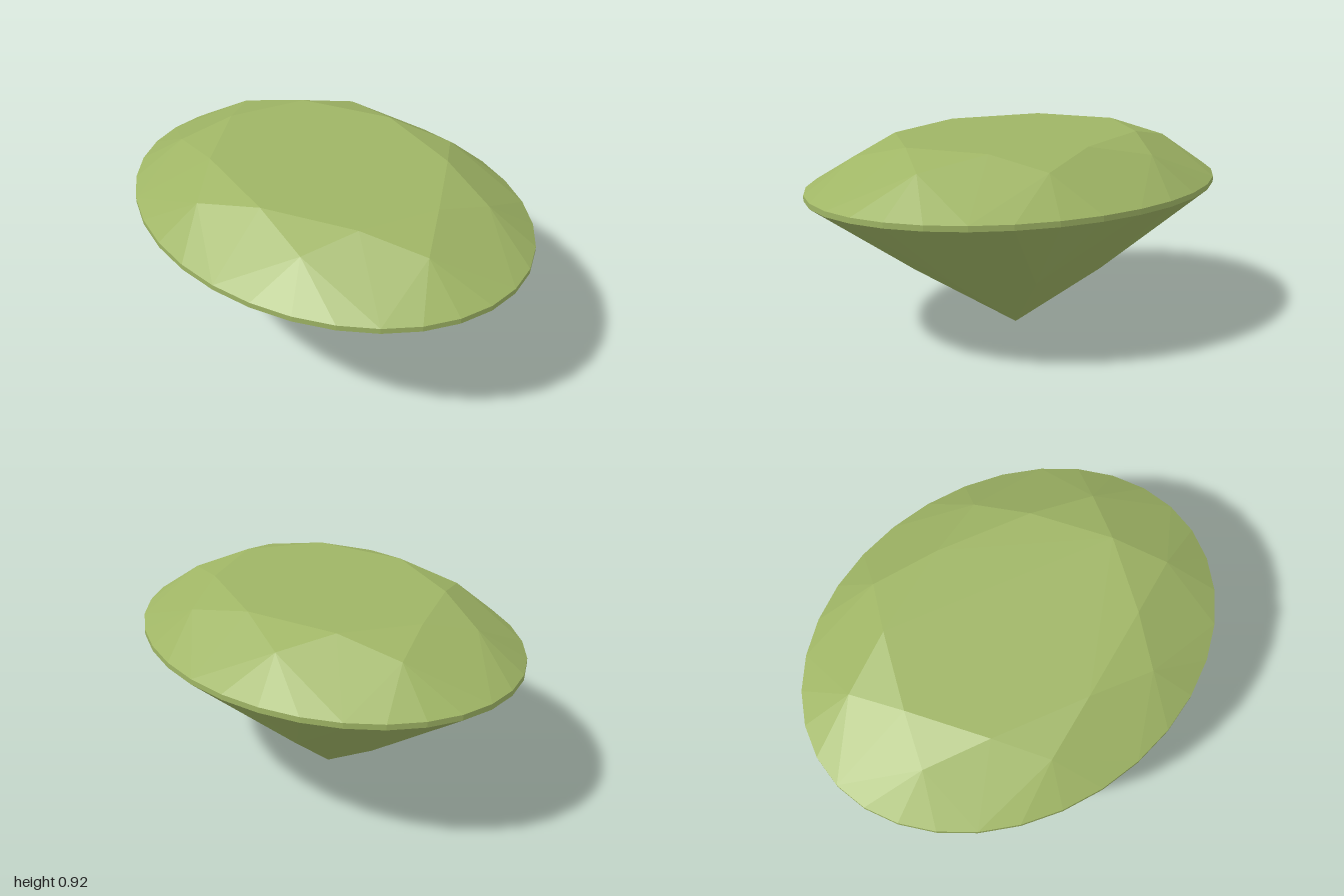
import * as THREE from 'three';

const RX = 0.783, RZ = 1.004;                 // half axes of the oval outline
const STEP = Math.PI / 4, OFFSET = THREE.MathUtils.degToRad(5);
const MAINS = 8;                              // eight-fold brilliant cut

// Ring of points: t counts main facets around the stone (0..8)
const ring = (radius, y) => (t) => {
  const a = OFFSET + t * STEP;
  return new THREE.Vector3(radius * RX * Math.sin(a), y, radius * RZ * Math.cos(a));
};
const tableRing = ring(0.6, 0.92);
const starRing = ring(0.77, 0.86);
const girdleTop = ring(1, 0.705);
const girdleBottom = ring(1, 0.68);
const lowerRing = ring(0.5, 0.314);
const culet = new THREE.Vector3(0, 0, 0);

// Facets are convex polygons, fanned into separate triangles for hard edges
function facetMesh(name, facets, material) {
  const points = [];
  for (const f of facets) {
    for (let i = 1; i < f.length - 1; i++) points.push(f[0], f[i], f[i + 1]);
  }
  const geometry = new THREE.BufferGeometry().setFromPoints(points);
  geometry.computeVertexNormals();
  const mesh = new THREE.Mesh(geometry, material);
  mesh.name = name;
  return mesh;
}

export function createModel() {
  const gem = new THREE.MeshStandardMaterial({ color: 0x9fb565 });
  gem.name = 'olive green gem';

  const table = [[]], stars = [], kites = [], upperHalves = [];
  const girdle = [], lowerHalves = [], pavilionMains = [];

  for (let k = 0; k < MAINS; k++) {
    table[0].push(tableRing(k));
    stars.push([tableRing(k), starRing(k + 0.5), tableRing(k + 1)]);
    kites.push([tableRing(k), starRing(k - 0.5), girdleTop(k), starRing(k + 0.5)]);
    pavilionMains.push([culet, lowerRing(k + 0.5), girdleBottom(k), lowerRing(k - 0.5)]);

    // Four girdle segments between neighbouring main facets
    for (let s = 0; s < 4; s++) {
      const a = k + s / 4, b = k + (s + 1) / 4;
      upperHalves.push([girdleTop(a), girdleTop(b), starRing(k + 0.5)]);
      girdle.push([girdleBottom(a), girdleBottom(b), girdleTop(b), girdleTop(a)]);
      lowerHalves.push([girdleBottom(b), girdleBottom(a), lowerRing(k + 0.5)]);
    }
  }

  const crown = new THREE.Group();
  crown.name = 'crown';
  crown.add(
    facetMesh('table', table, gem),
    facetMesh('starFacets', stars, gem),
    facetMesh('kiteFacets', kites, gem),
    facetMesh('upperGirdleFacets', upperHalves, gem),
  );

  const pavilion = new THREE.Group();
  pavilion.name = 'pavilion';
  pavilion.add(
    facetMesh('lowerGirdleFacets', lowerHalves, gem),
    facetMesh('pavilionMainFacets', pavilionMains, gem),
  );

  const model = new THREE.Group();
  model.name = 'ovalGemstone';
  model.add(crown, facetMesh('girdle', girdle, gem), pavilion);
  return model;
}
